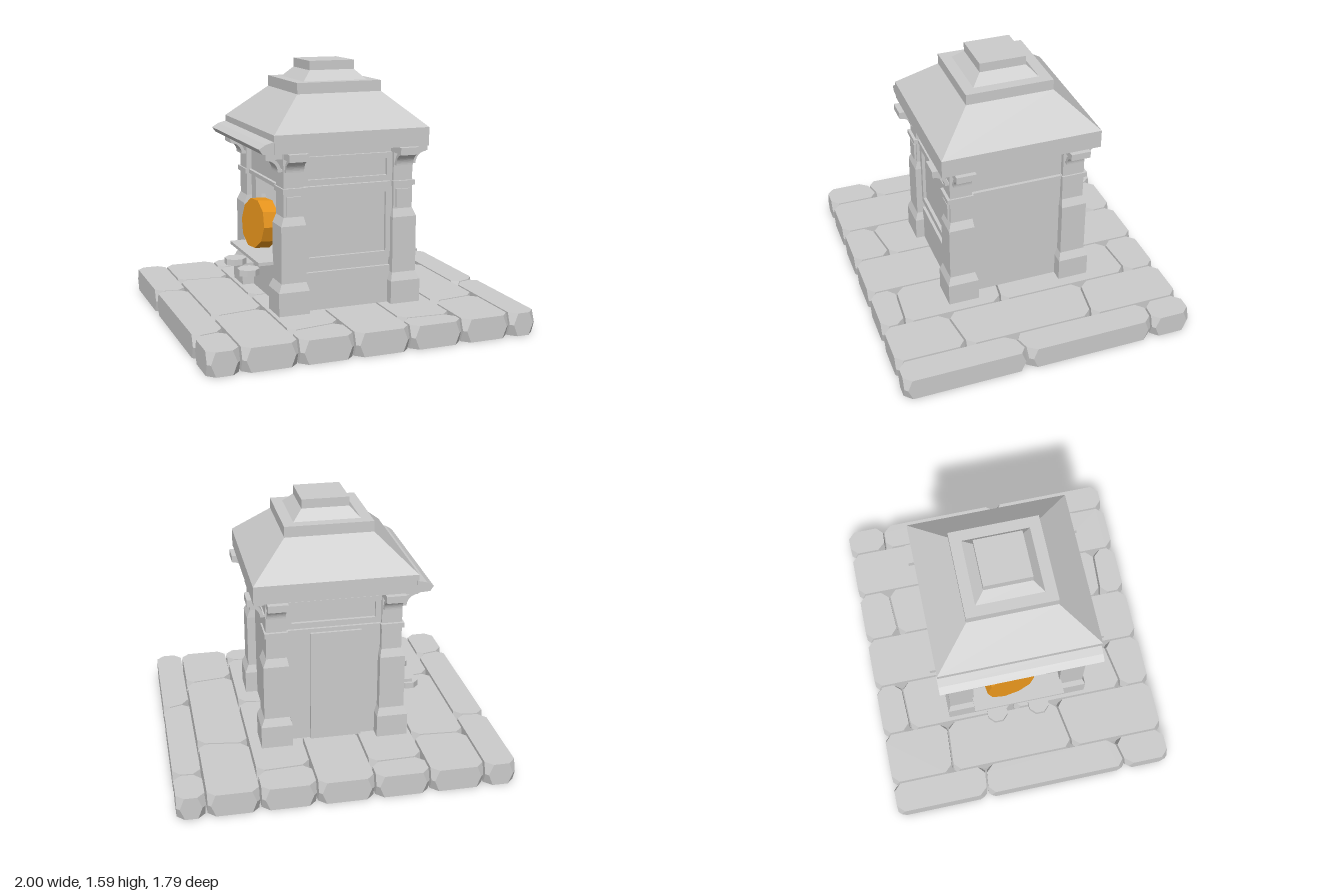
import * as THREE from 'three';
import { ConvexGeometry } from 'three/addons/geometries/ConvexGeometry.js';

const stone = new THREE.MeshStandardMaterial({ color: 0xcccccc, flatShading: true });
const orange = new THREE.MeshStandardMaterial({ color: 0xe8951c, flatShading: true });

export function createModel() {
  const model = new THREE.Group();

  function add(name, geometry, material = stone, parent = model) {
    const mesh = new THREE.Mesh(geometry, material);
    mesh.name = name;
    parent.add(mesh);
    return mesh;
  }

  // Box given by its limits
  function block(name, x0, x1, y0, y1, z0, z1, parent = model) {
    const mesh = add(name, new THREE.BoxGeometry(x1 - x0, y1 - y0, z1 - z0), stone, parent);
    mesh.position.set((x0 + x1) / 2, (y0 + y1) / 2, (z0 + z1) / 2);
    return mesh;
  }

  // Stack of rectangles [y, halfX, halfZ, centreX, centreZ], joined and capped
  function loft(name, sections) {
    const pos = [], index = [], n = sections.length;
    for (const [y, hx, hz, cx = 0, cz = 0] of sections) {
      pos.push(cx - hx, y, cz + hz, cx + hx, y, cz + hz, cx + hx, y, cz - hz, cx - hx, y, cz - hz);
    }
    for (let s = 0; s < n - 1; s++) {
      for (let k = 0; k < 4; k++) {
        const a = s * 4 + k, b = s * 4 + (k + 1) % 4;
        index.push(a, b, b + 4, a, b + 4, a + 4);
      }
    }
    const t = (n - 1) * 4;
    index.push(0, 2, 1, 0, 3, 2, t, t + 1, t + 2, t, t + 2, t + 3);
    const g = new THREE.BufferGeometry();
    g.setAttribute('position', new THREE.Float32BufferAttribute(pos, 3));
    g.setIndex(index);
    const flat = g.toNonIndexed();
    flat.computeVertexNormals();
    return add(name, flat);
  }

  // Paving: columns of stones with slanted joints, [z at left, z at right] per joint
  const columns = [-1, -0.81, -0.48, -0.15, 0.19, 0.52, 0.83, 1];
  const joints = [
    [[-0.31, -0.29], [0.61, 0.57]],
    [[-0.5, -0.48], [0.3, 0.25]],
    [[-0.72, -0.73], [-0.03, 0.0], [0.71, 0.66]],
    [[-0.36, -0.33], [0.36, 0.33]],
    [[-0.68, -0.7], [0.1, 0.14], [0.73, 0.75]],
    [[-0.37, -0.33], [0.5, 0.46]],
    [[-0.66, -0.65], [0.19, 0.14]],
  ];
  const paving = new THREE.Group();
  paving.name = 'paving';
  model.add(paving);
  const gap = 0.006, cut = 0.045, thick = 0.14;
  joints.forEach((cuts, c) => {
    const x0 = columns[c] + (c ? gap : 0), x1 = columns[c + 1] - (c < 6 ? gap : 0);
    const lines = [[-0.9 - gap, -0.9 - gap], ...cuts, [0.895 + gap, 0.895 + gap]];
    for (let i = 0; i < lines.length - 1; i++) {
      const [a, b] = lines[i], [d, e] = lines[i + 1];
      const corners = [[x0, a + gap], [x1, b + gap], [x1, e - gap], [x0, d - gap]]
        .map(([x, z]) => new THREE.Vector3(x, 0, z));
      const points = [];
      corners.forEach((p, k) => {
        const next = corners[(k + 1) % 4], prev = corners[(k + 3) % 4];
        for (const q of [next, prev]) {
          const dir = q.clone().sub(p).normalize();
          for (const y of [0, thick]) points.push(p.clone().addScaledVector(dir, cut).setY(y));
          // Corners are fullest at mid height
          points.push(p.clone().addScaledVector(dir, 0.018).setY(thick / 2));
        }
      });
      add('pavingStone', new ConvexGeometry(points), stone, paving);
    }
  });

  // Corner pillars: wide foot, shaft and slimmer head, with collars
  const pillarRows = [ // y, inner x, outer x, inner z, outer z
    [0.14, 0.26, 0.45, 0.265, 0.455], [0.28, 0.26, 0.45, 0.265, 0.455],
    [0.33, 0.275, 0.428, 0.28, 0.437], [0.67, 0.275, 0.428, 0.28, 0.437],
    [0.72, 0.285, 0.407, 0.285, 0.42], [1.1, 0.285, 0.407, 0.285, 0.42],
  ];
  for (const sx of [-1, 1]) {
    for (const sz of [-1, 1]) {
      loft('pillar', pillarRows.map(([y, xi, xo, zi, zo]) =>
        [y, (xo - xi) / 2, (zo - zi) / 2, sx * (xi + xo) / 2, sz * (zi + zo) / 2]));
      loft('pillarCollar', [0.86, 0.89].map(y => [y, 0.07, 0.08, sx * 0.347, sz * 0.358]));
    }
    block('pillarPlaque', sx * 0.345 - 0.045, sx * 0.345 + 0.045, 0.73, 0.84, 0.41, 0.433);
  }

  // Eave brackets: flat shelf on a curved strut, two at each corner
  const strut = new THREE.Shape();
  strut.absarc(0.1, 0, 0.09, Math.PI, Math.PI / 2, true);
  strut.absarc(0.1, 0, 0.07, Math.PI / 2, Math.PI, false);
  const strutGeometry = new THREE.ExtrudeGeometry(strut, { depth: 0.11, bevelEnabled: false, curveSegments: 6 });
  function bracket(x, z, angle) {
    const g = new THREE.Group();
    g.name = 'eaveBracket';
    g.position.set(x, 0, z);
    g.rotation.y = angle;
    model.add(g);
    block('bracketShelf', -0.01, 0.105, 1.06, 1.1, -0.06, 0.06, g);
    block('bracketFoot', -0.01, 0.03, 0.985, 1.0, -0.055, 0.055, g);
    add('bracketStrut', strutGeometry, stone, g).position.set(0, 0.985, -0.055);
  }
  for (const s of [-1, 1]) {
    bracket(0.405, s * 0.35, 0);
    bracket(-0.405, s * 0.35, Math.PI);
    bracket(s * 0.345, 0.415, -Math.PI / 2);
    bracket(s * 0.345, -0.415, Math.PI / 2);
  }

  // Walls between the pillars, with an open serving window on the right
  block('leftWall', 0.34, 0.375, 0.14, 0.87, -0.3, 0.3);
  block('frontWall', -0.3, 0.3, 0.14, 0.87, 0.34, 0.38);
  block('backWall', -0.3, 0.3, 0.14, 0.87, -0.38, -0.34);
  block('counterWall', -0.375, -0.34, 0.14, 0.41, -0.3, 0.3);
  for (const s of [-1, 1]) {
    block('windowJamb', -0.375, -0.34, 0.41, 0.87, s * 0.25 - 0.05, s * 0.25 + 0.05);
  }
  block('floor', -0.35, 0.35, 0.14, 0.16, -0.35, 0.35);
  block('upperBand', -0.375, 0.375, 0.87, 1.1, -0.38, 0.38);
  block('trimBand', -0.395, 0.395, 0.863, 0.887, -0.41, 0.41);

  // Rectangular frame facing +z or -z
  function frame(name, w, y0, y1, z, rim) {
    const s = new THREE.Shape([[-w, y0], [w, y0], [w, y1], [-w, y1]].map(p => new THREE.Vector2(...p)));
    s.holes.push(new THREE.Path([[-w + rim, y0 + rim], [-w + rim, y1 - rim], [w - rim, y1 - rim], [w - rim, y0 + rim]]
      .map(p => new THREE.Vector2(...p))));
    add(name, new THREE.ExtrudeGeometry(s, { depth: 0.02, bevelEnabled: false })).position.z = z;
  }
  frame('frontPanelFrame', 0.285, 0.42, 0.863, 0.38, 0.04);
  block('frontSkirting', -0.285, 0.285, 0.14, 0.37, 0.36, 0.4);
  for (const z of [0.38, -0.4]) frame('upperPanelFrame', 0.285, 0.89, 1.06, z, 0.035);

  // Back door
  block('door', -0.17, 0.14, 0.14, 0.85, -0.4, -0.36);

  // Serving counter, stools and round display
  block('counter', -0.52, -0.3, 0.41, 0.43, -0.29, 0.29);
  for (const z of [-0.15, 0.12]) {
    const seat = add('stoolSeat', new THREE.CylinderGeometry(0.068, 0.068, 0.038, 8));
    seat.position.set(-0.53, 0.338, z);
    seat.rotation.y = Math.PI / 8;
  }
  const display = new THREE.Group();
  display.name = 'roundDisplay';
  display.position.set(-0.398, 0.59, -0.05);
  display.rotation.set(0, 0.15, -0.08);
  model.add(display);
  add('displayDisc', new THREE.CylinderGeometry(0.155, 0.155, 0.1, 10), orange, display).rotation.z = Math.PI / 2;
  const hub = add('displayHub', new THREE.CylinderGeometry(0.09, 0.09, 0.08, 10), stone, display);
  hub.rotation.z = Math.PI / 2;
  hub.position.x = 0.08;

  // Stepped roof
  loft('roof', [[1.1, 0.482, 0.486], [1.21, 0.482, 0.486], [1.41, 0.265, 0.267], [1.475, 0.265, 0.267],
    [1.475, 0.2, 0.2], [1.535, 0.142, 0.142], [1.59, 0.142, 0.142]]);

  // Awning lip over the serving window
  const lip = new THREE.Shape([[-0.47, 1.1], [-0.47, 1.175], [-0.53, 1.16], [-0.57, 1.135], [-0.55, 1.105]]
    .map(p => new THREE.Vector2(...p)));
  add('awning', new THREE.ExtrudeGeometry(lip, { depth: 0.97, bevelEnabled: false })).position.z = -0.49;

  return model;
}
